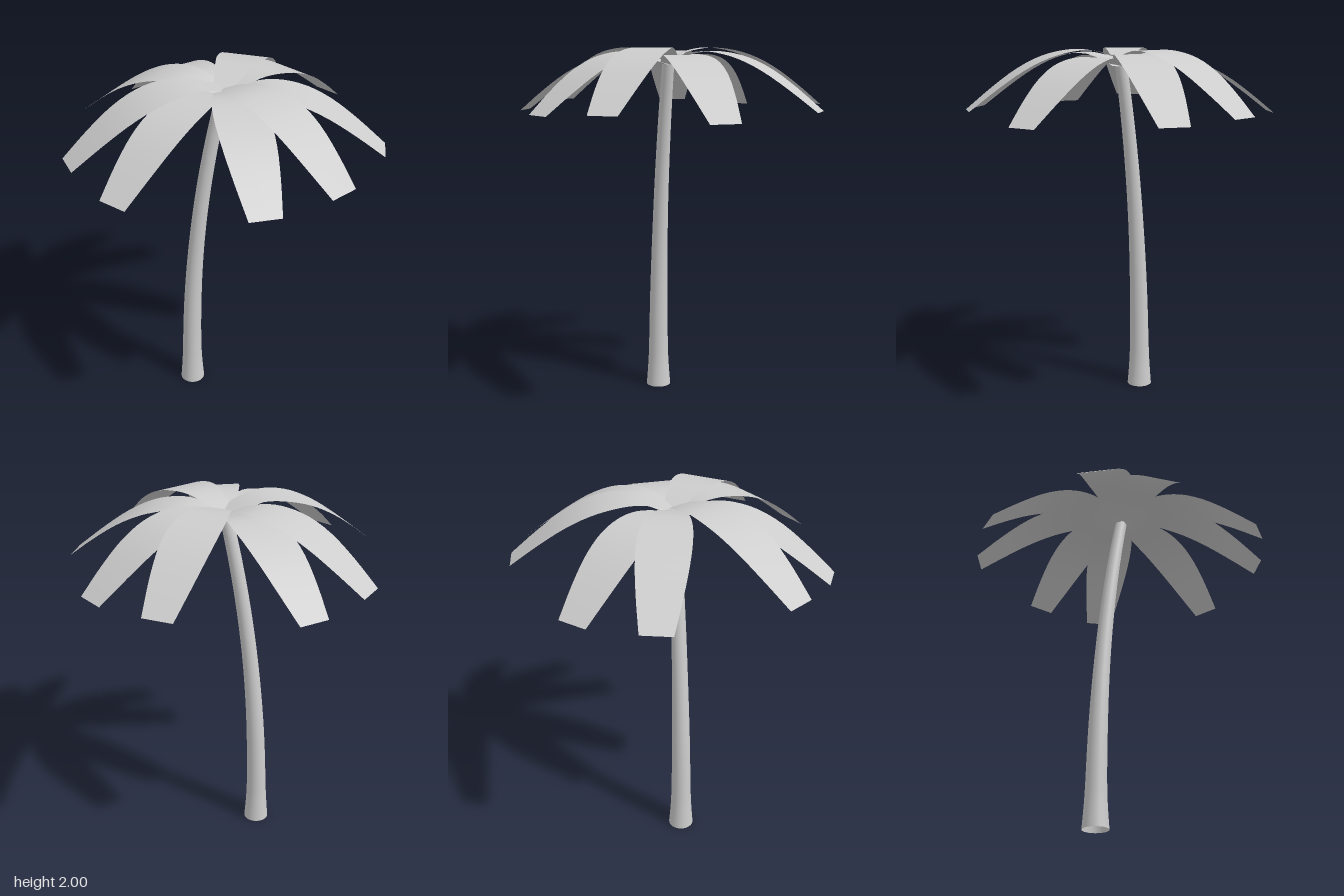
import * as THREE from 'three';
import { mergeVertices } from 'three/addons/utils/BufferGeometryUtils.js';

const CROWN = { x: -0.008, z: 0.012 };

// Trunk: flared open tube, leaning further towards +x with height
function trunkGeometry() {
  const top = 1.917;
  const outline = [[0.071, 0], [0.064, 0.09], [0.058, 0.2], [0.051, 0.6], [0.044, 1], [0.039, 1.4], [0.033, top]];
  const curve = new THREE.CatmullRomCurve3(outline.map(([r, y]) => new THREE.Vector3(r, y, 0)));
  const profile = curve.getPoints(28).map((p) => new THREE.Vector2(p.x, p.y));
  const tube = new THREE.LatheGeometry(profile, 24);
  tube.deleteAttribute('uv');
  tube.deleteAttribute('normal');
  const geo = mergeVertices(tube, 1e-4);
  const pos = geo.attributes.position;
  for (let i = 0; i < pos.count; i++) {
    const x = pos.getX(i), y = pos.getY(i);
    const t = Math.max(0, y / top);
    const slope = 0.23 * Math.pow(t, 1.3);
    pos.setXYZ(i, x - 0.204 + 0.194 * Math.pow(t, 2.3), y - x * slope, pos.getZ(i) + 0.017);
  }
  geo.computeVertexNormals();
  return geo;
}

// Frond: thin strip along +x that rises from the crown, arches over and droops
function frondGeometry() {
  const spine = new THREE.CatmullRomCurve3([
    // distance out, height, half width
    [0, 1.948, 0.053], [0.1, 1.982, 0.078], [0.2, 2, 0.104], [0.3, 1.994, 0.124], [0.42, 1.964, 0.133],
    [0.55, 1.902, 0.128], [0.69, 1.807, 0.109], [0.84, 1.69, 0.08],
  ].map((p) => new THREE.Vector3(...p)));
  const steps = 21;
  const geo = new THREE.PlaneGeometry(1, 2, steps, 2).rotateX(-Math.PI / 2);
  const pos = geo.attributes.position;
  for (let i = 0; i < pos.count; i++) {
    const p = spine.getPoint(pos.getX(i) + 0.5);
    pos.setXYZ(i, p.x, p.y, pos.getZ(i) * p.z);
  }
  geo.computeVertexNormals();
  return geo;
}

export function createModel() {
  const model = new THREE.Group();
  model.name = 'palmTree';
  const grey = new THREE.MeshStandardMaterial({ color: 0xcccccc, side: THREE.DoubleSide });
  grey.name = 'light grey';

  const trunk = new THREE.Mesh(trunkGeometry(), grey);
  trunk.name = 'trunk';
  model.add(trunk);

  // Nine fronds around the crown, stacked in three layers
  const fronds = new THREE.Group();
  fronds.name = 'fronds';
  const frondShape = frondGeometry();
  const angles = [-80.6, -51.9, 0, 40.3, 69.3, 120.4, 148.6, 199.7, 228.3];
  angles.forEach((angle, i) => {
    const frond = new THREE.Mesh(frondShape, grey);
    frond.name = `frond${i + 1}`;
    frond.position.set(CROWN.x, -0.0185 * (i % 3), CROWN.z);
    frond.rotation.y = -THREE.MathUtils.degToRad(angle);
    fronds.add(frond);
  });
  model.add(fronds);
  return model;
}
